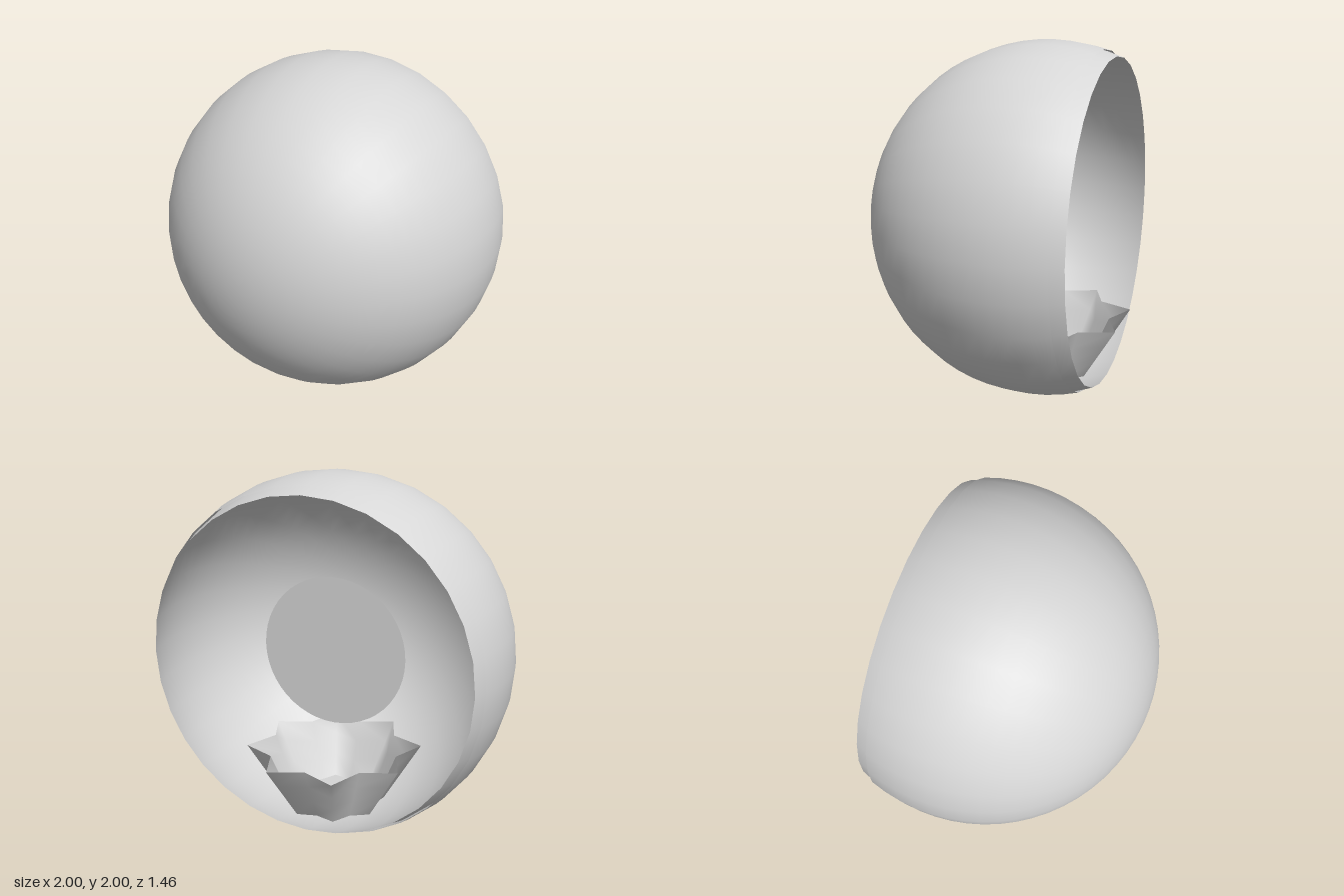
import * as THREE from 'three';

const CENTER_Y = 1;
const CENTER_Z = -0.27;

// Dome with its pole towards +z, open at the back
function dome(name, radius, sweep, material) {
  const geometry = new THREE.SphereGeometry(radius, 32, 20, 0, Math.PI * 2, 0, sweep);
  geometry.rotateX(Math.PI / 2);
  const mesh = new THREE.Mesh(geometry, material);
  mesh.name = name;
  mesh.position.set(0, CENTER_Y, CENTER_Z);
  return mesh;
}

// Flaring bowl with a star-shaped cross-section; rows are [tip radius, valley radius, y]
function starBowl(rows, points) {
  const n = points * 2;
  const positions = [];
  const index = [];
  for (const [tip, valley, y] of rows) {
    for (let i = 0; i < n; i++) {
      const a = (i / n) * Math.PI * 2;
      const r = i % 2 ? tip : valley;
      positions.push(r * Math.sin(a), y, r * Math.cos(a));
    }
  }
  for (let j = 0; j < rows.length - 1; j++) {
    for (let i = 0; i < n; i++) {
      const a = j * n + i;
      const b = j * n + ((i + 1) % n);
      index.push(a, b, b + n, a, b + n, a + n);
    }
  }
  const geometry = new THREE.BufferGeometry();
  geometry.setAttribute('position', new THREE.Float32BufferAttribute(positions, 3));
  geometry.setIndex(index);
  geometry.computeVertexNormals();
  return geometry;
}

export function createModel() {
  const model = new THREE.Group();
  model.name = 'openGlobe';
  const grey = new THREE.MeshStandardMaterial({ color: 0xd6d6d6, side: THREE.DoubleSide });
  grey.name = 'light grey';

  // Two nested shells; the inner one reaches further back as a lip
  model.add(dome('outerShell', 1, Math.PI * 0.6, grey));
  model.add(dome('innerShell', 0.99, Math.PI * 0.625, grey));

  // Upright round panel in the middle of the globe
  const disc = new THREE.Mesh(new THREE.CircleGeometry(0.425, 48), grey);
  disc.name = 'roundPanel';
  disc.rotation.y = Math.PI;
  disc.position.set(0, CENTER_Y, CENTER_Z);
  model.add(disc);

  // Eight-pointed petal bowl resting at the bottom
  const bowl = new THREE.Group();
  bowl.name = 'petalBowl';
  bowl.position.z = CENTER_Z;
  const petals = new THREE.Mesh(
    starBowl([[0.29, 0.24, 0.1], [0.36, 0.29, 0.21], [0.43, 0.335, 0.32], [0.5, 0.38, 0.43]], 8), grey);
  petals.name = 'petals';
  const floor = new THREE.Mesh(starBowl([[0.29, 0.24, 0.1], [0, 0, 0.1]], 8), grey);
  floor.name = 'bowlFloor';
  bowl.add(petals, floor);
  model.add(bowl);

  return model;
}
